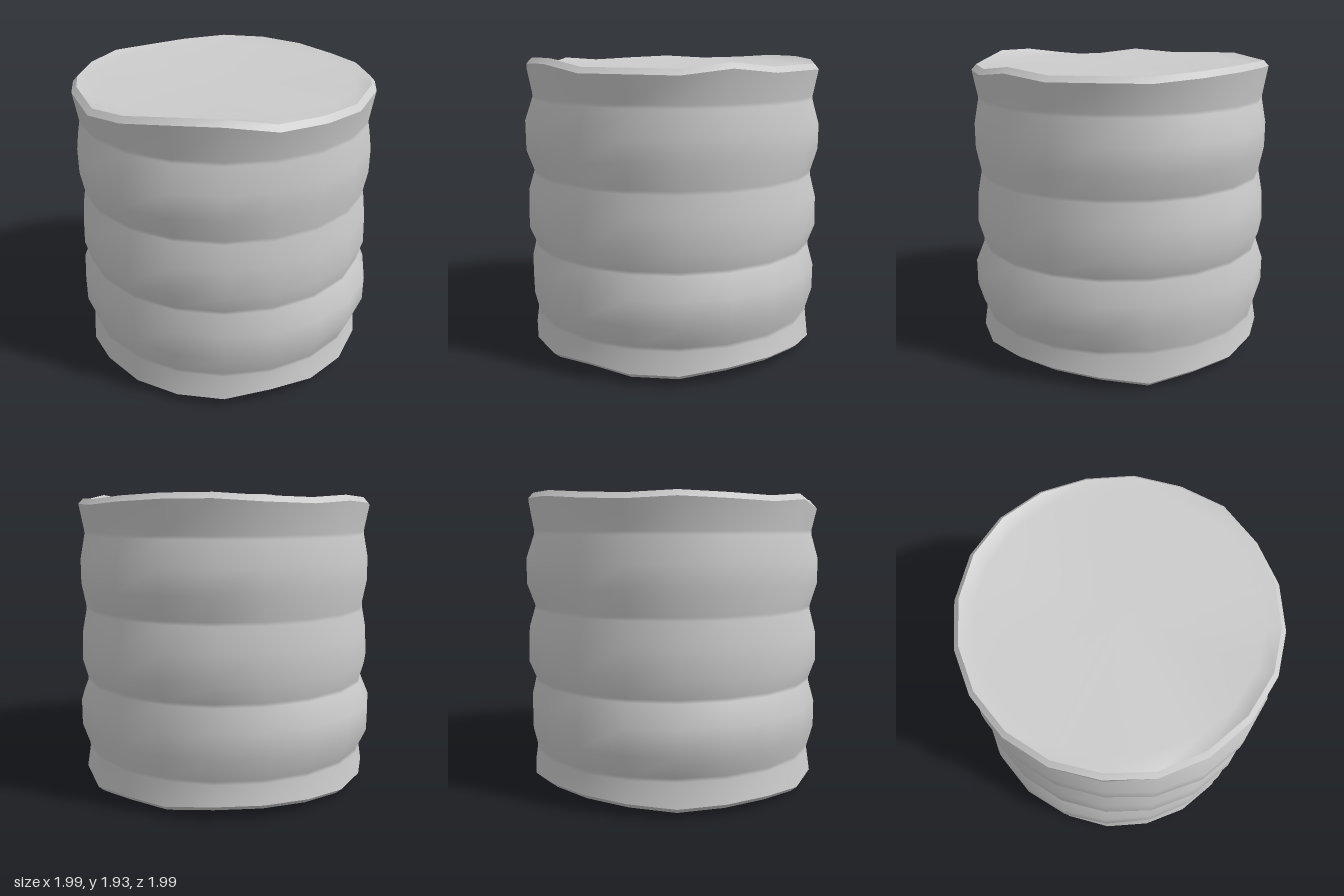
import * as THREE from 'three';

const SIDES = 20;

// Uneven heights of the rim edges, starting at the front and turning towards +x
const TOP_EDGE = [1.85, 1.85, 1.845, 1.88, 1.85, 1.855, 1.85, 1.87, 1.885, 1.888,
  1.87, 1.86, 1.875, 1.862, 1.85, 1.87, 1.82, 1.85, 1.89, 1.895];
const BOTTOM_EDGE = [0.095, 0.07, 0.07, 0.1, 0.1, 0.08, 0.035, 0.07, 0.065, 0.09,
  0.09, 0.08, 0.06, 0.07, 0.07, 0.045, 0.07, 0.055, 0.055, 0.055];

// A ring of points; the radius may depend on the angle, the height on the index
function ring(radius, height) {
  return Array.from({ length: SIDES }, (_, i) => {
    const a = (i / SIDES) * Math.PI * 2;
    const r = typeof radius === 'function' ? radius(a) : radius;
    const y = typeof height === 'function' ? height(i) : height;
    return [Math.sin(a) * r, y, Math.cos(a) * r];
  });
}

// Index of the quads between rings listed from bottom to top, or from outside in for a lid
function bands(count) {
  const index = [];
  for (let j = 0; j < count - 1; j++) {
    for (let i = 0; i < SIDES; i++) {
      const a = j * SIDES + i, b = j * SIDES + (i + 1) % SIDES;
      index.push(a, b, b + SIDES, a, b + SIDES, a + SIDES);
    }
  }
  return index;
}

function buildMesh(name, points, index, material) {
  const geometry = new THREE.BufferGeometry();
  geometry.setAttribute('position', new THREE.Float32BufferAttribute(points.flat(), 3));
  geometry.setIndex(index);
  geometry.computeVertexNormals();
  const mesh = new THREE.Mesh(geometry, material);
  mesh.name = name;
  return mesh;
}

// Smooth skin through rings
function skin(name, rings, material) {
  return buildMesh(name, rings.flat(), bands(rings.length), material);
}

// Shallow dished end cap: the wavy rim settles to an even ring, then a centre point
function cap(name, rim, innerHeight, centreHeight, faceUp, material) {
  const inner = ring(0.85, innerHeight);
  const index = bands(2);
  for (let i = 0; i < SIDES; i++) {
    index.push(SIDES + i, SIDES + (i + 1) % SIDES, 2 * SIDES);
  }
  if (!faceUp) index.reverse();
  return buildMesh(name, [...rim, ...inner, [0, centreHeight, 0]], index, material);
}

export function createModel() {
  const group = new THREE.Group();
  group.name = 'ribbedDrum';
  const material = new THREE.MeshStandardMaterial({ color: 0xcccccc });

  const topOuter = ring(0.975, (i) => TOP_EDGE[i]);
  const topInner = ring(0.943, (i) => TOP_EDGE[i] + 0.035);
  const bottomOuter = ring(0.97, (i) => BOTTOM_EDGE[i]);
  const bottomInner = ring(0.93, (i) => BOTTOM_EDGE[i] - 0.035);

  // Ribs swell along one diagonal or the other
  const lowRib = (a) => 0.996 + 0.016 * Math.sin(2 * a);
  const diagonalRib = (base, swell) => (a) => base + swell * Math.max(0, -Math.sin(2 * a));

  // A tight pair of rings gives each groove a crisp crease
  const groove = (r, y) => [ring(r, y - 0.012), ring(r, y + 0.012)];
  const rib = (radii, heights) => radii.map((r, i) => ring(r, heights[i]));

  const wallRings = [
    bottomOuter,
    ...groove(0.948, 0.23),
    ...rib([lowRib, lowRib], [0.38, 0.55]),
    ...groove(0.948, 0.7),
    ...rib([diagonalRib(0.981, 0.015), diagonalRib(0.973, 0.018)], [0.83, 1.02]),
    ...groove(0.945, 1.18),
    ...rib([diagonalRib(0.973, 0.026), diagonalRib(0.973, 0.026)], [1.34, 1.5]),
    ...groove(0.943, 1.67),
    topOuter,
  ];
  group.add(skin('wall', wallRings, material));

  // Bevelled rims and end caps
  group.add(skin('topRim', [topOuter, topInner], material));
  group.add(skin('bottomRim', [bottomInner, bottomOuter], material));
  group.add(cap('lid', topInner, 1.878, 1.862, true, material));
  group.add(cap('base', bottomInner, 0.055, 0.075, false, material));
  return group;
}
